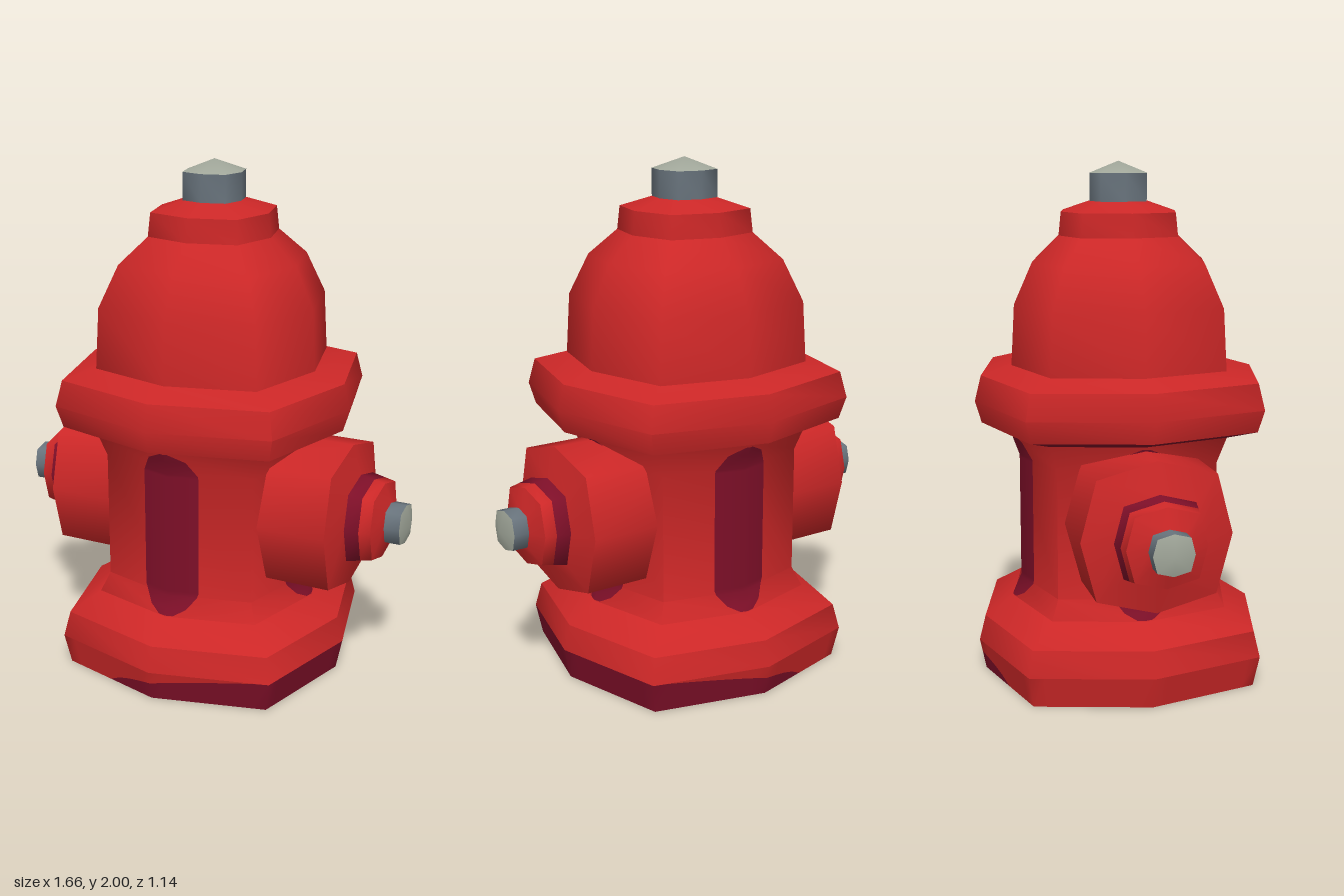
import * as THREE from 'three';
import { toCreasedNormals } from 'three/addons/utils/BufferGeometryUtils.js';

const DIAG = 1.12; // diagonal corners stand further out than the axis corners
const mat = (name, color) => {
  const m = new THREE.MeshStandardMaterial({ color });
  m.name = name;
  return m;
};

export function createModel() {
  const red = mat('red', 0xcc2727);
  const crimson = mat('crimson', 0x7e0f28);
  const steel = mat('steel', 0x69747d);
  const paleSteel = mat('paleSteel', 0xa2a89b);
  const darkInside = mat('darkInside', 0x450c0a);

  const model = new THREE.Group();
  model.name = 'hydrant';

  function add(parent, name, geometry, material) {
    const mesh = new THREE.Mesh(geometry, material);
    mesh.name = name;
    parent.add(mesh);
    return mesh;
  }

  // Squarish octagonal turning of a [radius, height] profile
  function turned(parent, name, profile, material) {
    const g = new THREE.LatheGeometry(profile.map(([r, y]) => new THREE.Vector2(r, y)), 8);
    const p = g.attributes.position;
    for (let i = 0; i < p.count; i++) {
      const corner = Math.floor(i / profile.length) % 2;
      if (corner) p.setXYZ(i, p.getX(i) * DIAG, p.getY(i), p.getZ(i) * DIAG);
    }
    return add(parent, name, toCreasedNormals(g, 1.1), material);
  }

  // Sheet from a grid of points, rows going upward and columns going rightward
  function sheet(rows) {
    const n = rows[0].length, index = [];
    for (let i = 0; i < rows.length - 1; i++) {
      for (let j = 0; j < n - 1; j++) {
        const a = i * n + j, b = a + 1, c = a + n, d = c + 1;
        index.push(a, b, d, a, d, c);
      }
    }
    const g = new THREE.BufferGeometry();
    g.setAttribute('position', new THREE.Float32BufferAttribute(rows.flat(2), 3));
    g.setIndex(index);
    return toCreasedNormals(g, 1.1);
  }

  // Base underside
  turned(model, 'baseCentre', [[0, 0], [0.36, 0]], darkInside);
  turned(model, 'baseUnderside', [[0.36, 0], [0.545, 0]], crimson);

  // Lower base band, with a crimson area rising towards one side
  const paintHeight = x => 0.12 * Math.sqrt(THREE.MathUtils.clamp((x + 0.2) / 0.6, 0, 1));
  function bandRow(heightAt) {
    const row = [];
    for (let k = 0; k <= 64; k++) {
      const side = Math.floor(k / 8), t = (k % 8) / 8;
      const corner = i => {
        const r = i % 2 ? DIAG : 1, a = i * Math.PI / 4;
        return [r * Math.sin(a), r * Math.cos(a)];
      };
      const [x0, z0] = corner(side), [x1, z1] = corner(side + 1);
      const x = x0 + (x1 - x0) * t, z = z0 + (z1 - z0) * t;
      const y = heightAt(x * 0.56), r = 0.545 + 0.025 * y / 0.12;
      row.push([x * r, y, z * r]);
    }
    return row;
  }
  add(model, 'basePaint', sheet([bandRow(() => 0), bandRow(paintHeight)]), crimson);
  add(model, 'baseLowerBand', sheet([bandRow(paintHeight), bandRow(() => 0.12)]), red);
  turned(model, 'baseUpperBand', [[0.57, 0.12], [0.545, 0.22]], red);
  turned(model, 'baseShoulder', [[0.545, 0.22], [0.43, 0.295]], red);

  // Barrel
  const barrel = [[0.43, 0.295], [0.393, 0.37], [0.393, 0.87], [0.43, 0.97]];
  turned(model, 'barrel', barrel, red);

  // Flange
  turned(model, 'flangeUnderside', [[0.43, 0.97], [0.545, 1.005]], crimson);
  turned(model, 'flangeBand', [[0.545, 1.005], [0.57, 1.09], [0.545, 1.19]], red);
  turned(model, 'flangeTop', [[0.545, 1.19], [0.425, 1.225]], red);

  // Dome, collar and top bolt
  turned(model, 'dome', [[0.425, 1.225], [0.412, 1.46], [0.34, 1.62], [0.235, 1.72]], red);
  turned(model, 'collar', [[0.236, 1.715], [0.226, 1.81]], red);
  turned(model, 'collarTop', [[0.226, 1.81], [0.11, 1.85]], red);
  turned(model, 'topBolt', [[0.113, 1.845], [0.113, 1.955]], steel);
  turned(model, 'topBoltCap', [[0.113, 1.955], [0, 2]], paleSteel);

  // Four rounded slots folded round the barrel corners
  const barrelRadius = y => {
    for (let i = 1; i < barrel.length; i++) {
      const [r0, y0] = barrel[i - 1], [r1, y1] = barrel[i];
      if (y <= y1) return r0 + (r1 - r0) * (y - y0) / (y1 - y0);
    }
    return barrel[3][0];
  };
  const slope = (1 - DIAG * Math.SQRT1_2) / (DIAG * Math.SQRT1_2);
  const slotRows = [[0.3, 0.03], [0.325, 0.075], [0.37, 0.108], [0.39, 0.115],
    [0.86, 0.115], [0.87, 0.113], [0.93, 0.078], [0.96, 0.015]];
  const slot = sheet(slotRows.map(([y, w]) => [-w, 0, w].map(
    x => [x, y, barrelRadius(y) - Math.abs(x) * slope + 0.005])));
  for (let i = 0; i < 4; i++) {
    add(model, 'slot', slot, crimson).rotation.y = i * Math.PI / 2;
  }

  // Side outlets, turned along their own axis and laid outward
  for (const side of [-1, 1]) {
    const outlet = new THREE.Group();
    outlet.name = side > 0 ? 'leftOutlet' : 'rightOutlet';
    turned(outlet, 'outletBarrel', [[0.285, 0.2], [0.285, 0.59]], red);
    turned(outlet, 'outletFace', [[0.285, 0.59], [0.17, 0.625]], red);
    turned(outlet, 'outletStripe', [[0.17, 0.622], [0.159, 0.678]], crimson);
    turned(outlet, 'outletCap', [[0.159, 0.678], [0.15, 0.722]], red);
    turned(outlet, 'outletCapFace', [[0.15, 0.722], [0.075, 0.75]], red);
    turned(outlet, 'outletBolt', [[0.077, 0.74], [0.077, 0.81]], steel);
    turned(outlet, 'outletBoltCap', [[0.077, 0.81], [0, 0.832]], paleSteel);
    outlet.rotation.z = -side * Math.PI / 2;
    outlet.position.y = 0.67;
    model.add(outlet);
  }

  return model;
}
